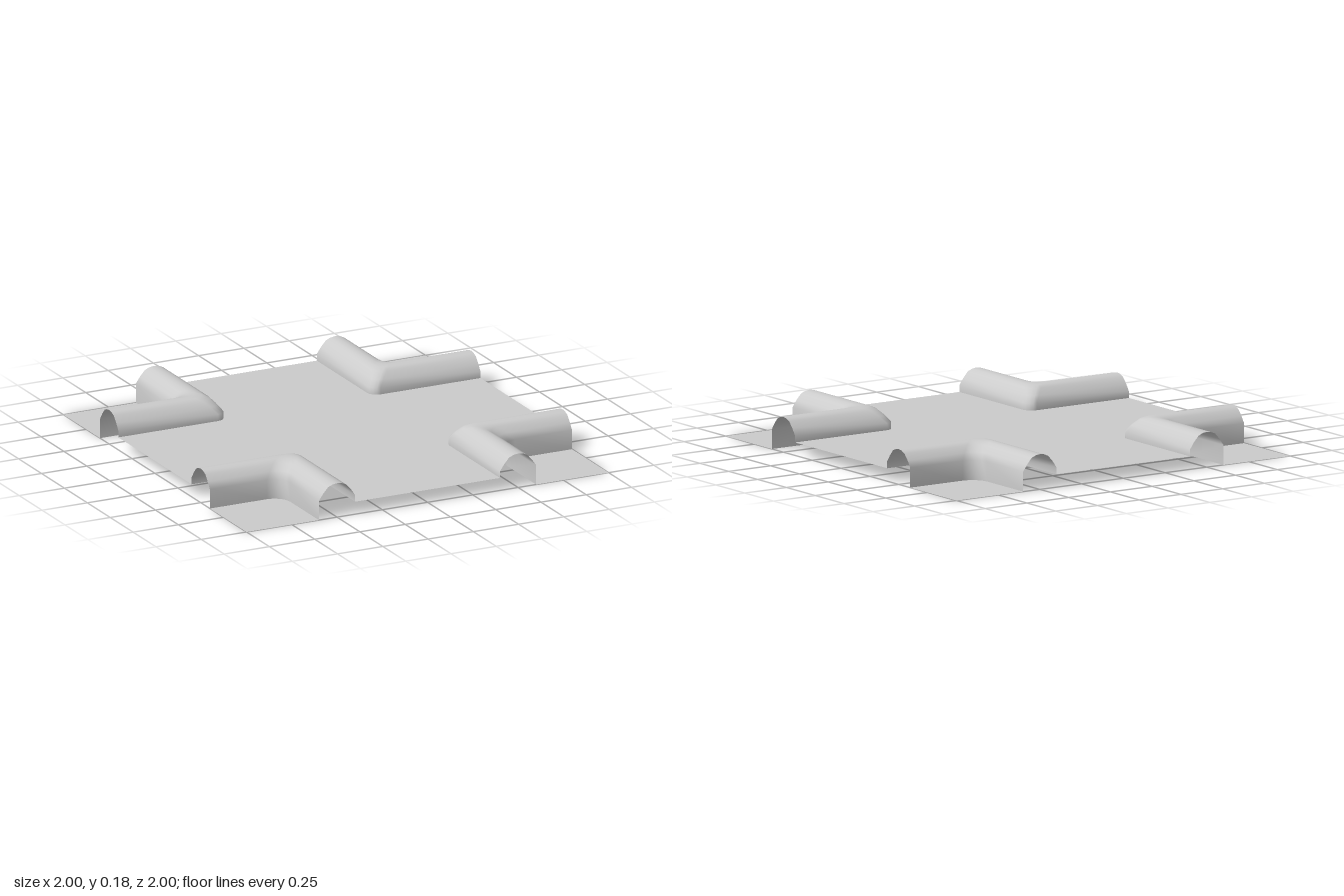
import * as THREE from 'three';

const ROAD_Y = 0.065;
// Curb cross-section: distance from the road centre line, height
const PROFILE = [
  [0.4, ROAD_Y], [0.4, 0.1], [0.423, 0.133], [0.45, 0.163], [0.475, 0.174], [0.5, 0.177],
  [0.525, 0.174], [0.55, 0.163], [0.577, 0.133], [0.6, 0.1], [0.6, 0],
];
const material = new THREE.MeshStandardMaterial({ color: 0xcccccc, side: THREE.DoubleSide });

// L-shaped plan line with a rounded corner, at distance d from both road axes
function cornerPath(d) {
  const c = THREE.MathUtils.mapLinear(d, 0.4, 0.6, 0.45, 0.685);
  const points = [new THREE.Vector2(d, 1)];
  for (let i = 0; i <= 4; i++) {
    const a = Math.PI * (1 + i / 8);
    points.push(new THREE.Vector2(c + (c - d) * Math.cos(a), c + (c - d) * Math.sin(a)));
  }
  points.push(new THREE.Vector2(1, d));
  return points;
}

// Horizontal sheet from a plan outline
function sheet(name, outline, y) {
  const geometry = new THREE.ShapeGeometry(new THREE.Shape(outline));
  geometry.rotateX(-Math.PI / 2).translate(0, y, 0);
  const mesh = new THREE.Mesh(geometry, material);
  mesh.name = name;
  return mesh;
}

// Arched curb: the profile swept around the corner
function curbGeometry() {
  const positions = [], index = [];
  PROFILE.forEach(([d, y], i) => {
    const path = cornerPath(d), n = path.length;
    path.forEach((p, j) => {
      positions.push(p.x, y, -p.y);
      if (i < PROFILE.length - 1 && j < n - 1) {
        const a = i * n + j, b = a + n;
        index.push(a, a + 1, b, a + 1, b + 1, b);
      }
    });
  });
  const geometry = new THREE.BufferGeometry();
  geometry.setAttribute('position', new THREE.Float32BufferAttribute(positions, 3));
  geometry.setIndex(index);
  geometry.computeVertexNormals();
  return geometry;
}

export function createModel() {
  const model = new THREE.Group();
  model.name = 'crossroads';

  // Cross-shaped road
  const outline = [];
  for (let k = 0; k < 4; k++) {
    for (const p of cornerPath(0.4)) {
      outline.push(p.rotateAround(new THREE.Vector2(), -k * Math.PI / 2));
    }
  }
  model.add(sheet('road', outline, ROAD_Y));

  // Four corners, each a curb around a lower ground patch
  const curbs = curbGeometry();
  for (let k = 0; k < 4; k++) {
    const corner = new THREE.Group();
    corner.name = 'corner' + (k + 1);
    const curb = new THREE.Mesh(curbs, material);
    curb.name = 'curb';
    corner.add(curb, sheet('ground', [...cornerPath(0.6), new THREE.Vector2(1, 1)], 0));
    corner.rotation.y = k * Math.PI / 2;
    model.add(corner);
  }
  return model;
}
